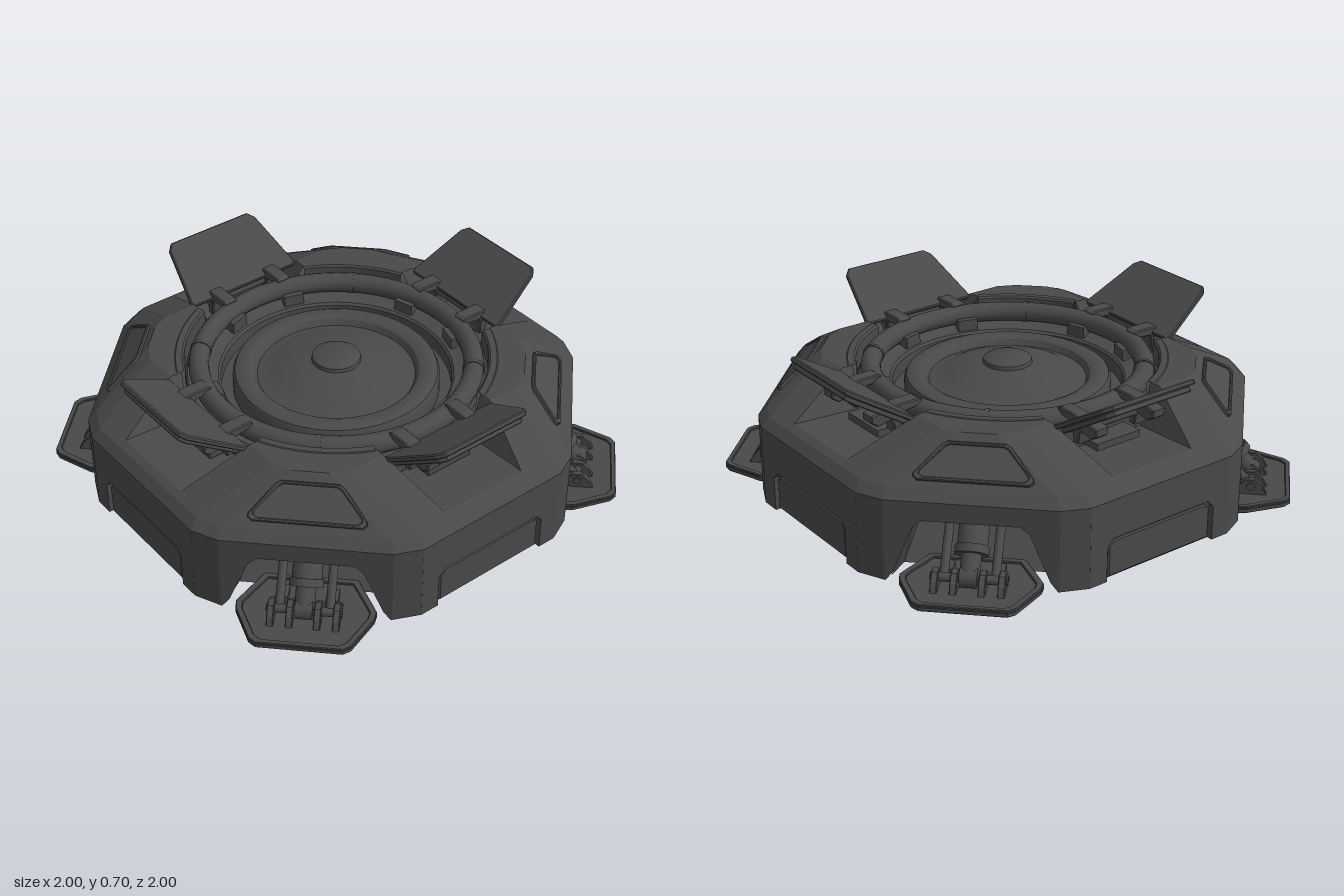
import * as THREE from 'three';
import { toCreasedNormals } from 'three/addons/utils/BufferGeometryUtils.js';

const material = new THREE.MeshStandardMaterial({ color: 0x494949, side: THREE.DoubleSide });

function add(parent, name, geometry, pos = [0, 0, 0], rot = [0, 0, 0]) {
  const m = new THREE.Mesh(geometry, material);
  m.name = name;
  m.position.set(...pos);
  m.rotation.set(...rot);
  parent.add(m);
  return m;
}
function group(parent, name, pos = [0, 0, 0], rot = [0, 0, 0]) {
  const g = new THREE.Group();
  g.name = name;
  g.position.set(...pos);
  g.rotation.set(...rot);
  parent.add(g);
  return g;
}
const box = (w, h, d) => new THREE.BoxGeometry(w, h, d);
const shapeOf = pts => new THREE.Shape(pts.map(p => new THREE.Vector2(...p)));
// Symmetric polygon from its right half
const mirrored = half => [...half, ...half.map(([x, y]) => [-x, y]).reverse()];
// Wall outline with a notch open at the bottom
const wallOutline = (half, notch) => mirrored([...[...notch].reverse(), [half, 0], [half, 0.35]]);
function plate(pts, depth, bevel = 0, hole = null) {
  const s = shapeOf(pts);
  if (hole) s.holes.push(shapeOf(hole));
  return new THREE.ExtrudeGeometry(s, {
    depth, bevelEnabled: bevel > 0, bevelThickness: bevel, bevelSize: bevel, bevelOffset: -bevel, bevelSegments: 1,
  });
}
// Flat faces from lists of four corners
function quads(list) {
  const g = new THREE.BufferGeometry();
  const v = list.flatMap(([a, b, c, d]) => [a, b, c, a, c, d].flat());
  g.setAttribute('position', new THREE.Float32BufferAttribute(v, 3));
  g.computeVertexNormals();
  return g;
}
const flip = ([x, y, z]) => [-x, y, z];
const bothSides = list => [...list, ...list.map(([a, b, c, d]) => [d, c, b, a].map(flip))];
const across = (a, b) => [flip(a), a, b, flip(b)];
const lathe = (pts, seg = 64, start = 0, sweep = Math.PI * 2) =>
  toCreasedNormals(new THREE.LatheGeometry(pts.map(p => new THREE.Vector2(...p)), seg, start, sweep), 0.5);
// Cylinder between two points
function rod(parent, name, a, b, r) {
  const A = new THREE.Vector3(...a), B = new THREE.Vector3(...b), d = B.clone().sub(A);
  const m = add(parent, name, new THREE.CylinderGeometry(r, r, d.length(), 20));
  m.position.copy(A).add(B).multiplyScalar(0.5);
  m.quaternion.setFromUnitVectors(new THREE.Vector3(0, 1, 0), d.normalize());
}

// Straight outer wall with a recessed door and narrow bevel walls
function sideWall(q) {
  add(q, 'sideWall', plate(wallOutline(0.36, [[0.275, 0], [0.275, 0.15], [0.245, 0.183]]), 0.035), [0, 0, 0.965]);
  add(q, 'doorRecess', box(0.58, 0.2, 0.012), [0, 0.1, 0.968]);
  add(q, 'sideDoor', plate(mirrored([[0.262, 0.012], [0.262, 0.145], [0.236, 0.17]]), 0.014, 0.006), [0, 0, 0.972]);
  for (const s of [-1, 1]) {
    add(q, 'bevelWall', box(0.121, 0.35, 0.03), [s * 0.409, 0.175, 0.961], [0, s * 0.427, 0]);
  }
}

// Sloped shoulder, with a pocket under the hatch
function shoulder(q) {
  const s = 0.965;
  const A = [0.36, 0.35, 1], B = [0.47, 0.35, 0.95], C = [0.95, 0.35, 0.47];
  const A2 = [0.36 * s, 0.39, s], B2 = [0.47 * s, 0.39, 0.95 * s], C2 = [0.95 * s, 0.39, 0.47 * s];
  const A3 = [0.43, 0.55, 0.65], B3 = [0.51, 0.55, 0.61], C3 = [0.61, 0.55, 0.51];
  const N1 = [0.2, 0.405, 0.935], N2 = [0.28, 0.55, 0.65];
  add(q, 'shoulder', quads([
    ...bothSides([[A, B, B2, A2], [A2, B2, B3, A3], [A2, A3, N2, N1]]),
    across(A, A2), across(A2, N1),
    [B, C, C2, B2], [B2, C2, C3, B3],
  ]));
  const F = [0.2, 0.39, 0.63], G = [0.28, 0.55, 0.595];
  add(q, 'hatchPocket', quads([...bothSides([[N1, N2, G, F]]), across(N1, F)]));

  // Deck between the shoulder and the round well
  const a = THREE.MathUtils.degToRad(25), b = THREE.MathUtils.degToRad(65);
  const deck = shapeOf([[0.65, 0.28], [0.65, 0.43], [0.61, 0.51], [0.51, 0.61], [0.43, 0.65], [0.28, 0.65]]);
  deck.absarc(0, 0, 0.66, b, a, true);
  add(q, 'deck', new THREE.ShapeGeometry(deck, 16), [0, 0.55, 0], [Math.PI / 2, 0, 0]);
  add(q, 'wellRim', lathe([[0.64, 0.45], [0.64, 0.545], [0.648, 0.553], [0.675, 0.553], [0.685, 0.546]], 16, a, b - a));
}

// Raised hatch with its hinge
function hatch(q) {
  const h = group(q, 'hatch', [0, 0.522, 0.662], [1.02, 0, 0]);
  const outline = mirrored([[0.275, 0], [0.28, 0.02], [0.232, 0.285], [0.205, 0.315]]);
  const inset = mirrored([[0.255, 0.02], [0.212, 0.27], [0.19, 0.295]]);
  const core = mirrored([[0.225, 0.05], [0.185, 0.25], [0.17, 0.265]]);
  add(h, 'hatchSkin', plate(outline, 0.012, 0.005), [0, 0, -0.012]);
  add(h, 'hatchLining', plate(inset, 0.016, 0.004, core), [0, 0, 0.008]);
  rod(q, 'hingeBar', [-0.18, 0.505, 0.685], [0.18, 0.505, 0.685], 0.022);
  add(q, 'hingeBlock', box(0.22, 0.03, 0.1), [0, 0.42, 0.68]);
  const arm = plate([[-0.69, 0.44], [-0.66, 0.44], [-0.65, 0.52], [-0.56, 0.53], [-0.56, 0.55],
    [-0.575, 0.56], [-0.66, 0.56], [-0.8, 0.54], [-0.8, 0.51], [-0.77, 0.488], [-0.7, 0.5]], 0.055, 0.005);
  for (const x of [-0.145, 0.145]) {
    add(q, 'hingeArm', arm, [x - 0.0275, 0, 0], [0, Math.PI / 2, 0]);
    add(q, 'ringBracket', box(0.09, 0.05, 0.05), [x * 1.07, 0.475, 0.515], [0, x * 2, 0]);
    rod(q, 'undersideBolt', [x * 1.25, 0.32, 0.54], [x * 1.25, 0.33, 0.54], 0.068);
  }
}

// Diagonal corner: arched wall, leg housing, shoulder panel and leg
function corner(q) {
  const c = group(q, 'corner', [0, 0, 0], [0, Math.PI / 4, 0]);
  add(c, 'archWall', plate(wallOutline(0.34, [[0.335, 0], [0.305, 0.04], [0.225, 0.24], [0.19, 0.27]]), 0.035), [0, 0, 0.969]);
  const A = [0.32, 0, 0.97], B = [0.226, 0.24, 0.97], C = [0.19, 0.271, 0.97];
  const A2 = [0.29, 0, 0.86], B2 = [0.215, 0.24, 0.67], C2 = [0.19, 0.3, 0.62];
  add(c, 'legHousing', quads([
    ...bothSides([[A, B, B2, A2], [B, C, C2, B2]]),
    across(C, C2), across(C2, B2), across(B2, A2),
  ]));

  const p = group(c, 'shoulderPanel', [0, 0.468, 0.882], [-0.841, 0, 0]);
  const outline = mirrored([[0.215, -0.085], [0.233, -0.07], [0.23, -0.055], [0.135, 0.068], [0.115, 0.08]]);
  const inner = outline.map(([x, y]) => [x * 0.9, y * 0.83]);
  add(p, 'panelFrame', plate(outline, 0.01, 0.004, inner));
  add(p, 'panelFace', plate(inner, 0.005));

  // Foot plate
  const leg = group(c, 'leg');
  const sole = mirrored([[0.19, 0.83], [0.265, 0.97], [0.28, 1.0], [0.275, 1.04], [0.2, 1.195], [0.17, 1.217]]);
  const pad = sole.map(([x, y]) => [x * 0.9, 1.04 + (y - 1.04) * 0.88]);
  const flat = [Math.PI / 2, 0, 0];
  add(leg, 'foot', plate(sole, 0.014, 0.004), [0, 0.02, 0], flat);
  add(leg, 'footBorder', plate(sole, 0.006, 0.003, pad), [0, 0.03, 0], flat);
  for (const x of [-0.07, 0.07]) add(leg, 'solePad', box(0.1, 0.008, 0.2), [x, 0.004, 1.03]);

  // Ankle fork and piston
  rod(leg, 'pistonRod', [0, 0.065, 1.05], [0, 0.2, 0.93], 0.04);
  rod(leg, 'pistonSleeve', [0, 0.14, 0.98], [0, 0.29, 0.84], 0.06);
  rod(leg, 'sleeveCollar', [0, 0.13, 0.99], [0, 0.155, 0.968], 0.068);
  rod(leg, 'anklePin', [-0.15, 0.06, 1.05], [0.15, 0.06, 1.05], 0.018);
  rod(leg, 'ankleKnuckle', [-0.035, 0.065, 1.05], [0.035, 0.065, 1.05], 0.04);
  const lug = plate([[-1.12, 0.02], [-0.96, 0.02], [-0.99, 0.06], [-1.03, 0.09], [-1.07, 0.09], [-1.1, 0.06]], 0.022, 0.003);
  for (const x of [-0.13, -0.055, 0.055, 0.13]) add(leg, 'ankleLug', lug, [x - 0.011, 0, 0], [0, Math.PI / 2, 0]);
  for (const x of [-0.1, 0.1]) {
    rod(leg, 'sideStrut', [x, 0.06, 1.04], [x, 0.26, 0.84], 0.018);
    add(leg, 'footBlock', box(0.05, 0.035, 0.07), [x, 0.04, 0.95]);
  }
}

export function createModel() {
  const model = new THREE.Group();
  model.name = 'launchPad';

  for (let k = 0; k < 4; k++) {
    const q = group(model, 'quadrant', [0, 0, 0], [0, k * Math.PI / 2, 0]);
    sideWall(q);
    shoulder(q);
    hatch(q);
    corner(q);
  }

  // Underside plate
  add(model, 'undersidePlate', new THREE.CircleGeometry(1.03, 8, Math.PI / 8), [0, 0.33, 0], [Math.PI / 2, 0, 0]);

  // Round well and central dome
  add(model, 'well', lathe([[0.64, 0.38], [0.64, 0.46], [0.63, 0.47], [0.55, 0.46], [0.53, 0.45], [0.5, 0.45],
    [0.49, 0.44], [0.49, 0.38], [0.43, 0.38]]));
  add(model, 'dome', lathe([[0.44, 0.38], [0.44, 0.445], [0.43, 0.465], [0.41, 0.475], [0.37, 0.475], [0.35, 0.465],
    [0.335, 0.44], [0.325, 0.44], [0.26, 0.472], [0.18, 0.497], [0.105, 0.51], [0.102, 0.526], [0.09, 0.533], [0, 0.536]]));

  // Pipe ring with collars at the diagonals
  add(model, 'pipeRing', new THREE.TorusGeometry(0.58, 0.043, 14, 72), [0, 0.505, 0], [Math.PI / 2, 0, 0]);
  for (let k = 0; k < 4; k++) {
    const a = Math.PI / 4 + k * Math.PI / 2;
    add(model, 'pipeCollar', new THREE.CylinderGeometry(0.046, 0.046, 0.02, 20),
      [0.58 * Math.sin(a), 0.505, 0.58 * Math.cos(a)], [0, a, Math.PI / 2]);
  }
  return model;
}
